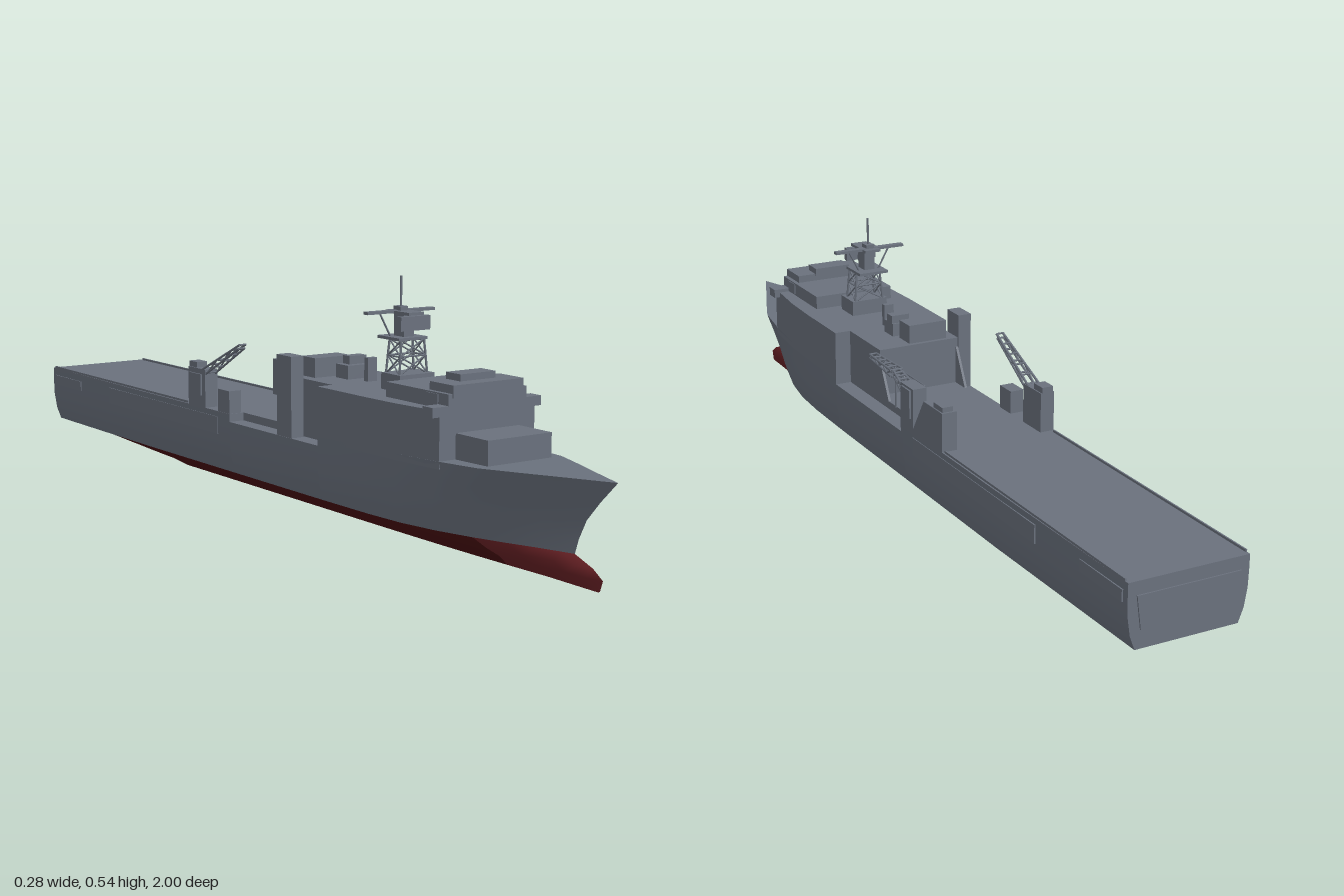
import * as THREE from 'three';

const mat = (name, color) => {
  const m = new THREE.MeshStandardMaterial({ color });
  m.name = name;
  return m;
};

export function createModel() {
  const grey = mat('hull grey', 0x6a717d);
  const red = mat('bottom red', 0x4c1012);
  const bowRed = mat('bow red', 0x6a2226);
  const ship = new THREE.Group();
  ship.name = 'ship';

  // ---------- helpers ----------
  const add = (name, geo, material = grey, parent = ship) => {
    const m = new THREE.Mesh(geo, material);
    m.name = name;
    parent.add(m);
    return m;
  };
  const box = (name, x0, x1, y0, y1, z0, z1, parent = ship) => {
    const g = new THREE.BoxGeometry(x1 - x0, y1 - y0, z1 - z0);
    g.translate((x0 + x1) / 2, (y0 + y1) / 2, (z0 + z1) / 2);
    return add(name, g, grey, parent);
  };
  const beam = (name, a, b, r, parent = ship) => {
    const p = new THREE.Vector3(...a), d = new THREE.Vector3(...b).sub(p);
    const g = new THREE.CylinderGeometry(r, r, d.length(), 6);
    const m = add(name, g, grey, parent);
    m.position.copy(p).addScaledVector(d, 0.5);
    m.quaternion.setFromUnitVectors(new THREE.Vector3(0, 1, 0), d.normalize());
  };
  // side profile of [z, y] points, extruded from x0 to x1
  const sidePlate = (name, pts, x0, x1) => {
    const s = new THREE.Shape(pts.map(p => new THREE.Vector2(...p)));
    const g = new THREE.ExtrudeGeometry(s, { depth: x1 - x0, bevelEnabled: false });
    add(name, g.rotateY(-Math.PI / 2).translate(x1, 0, 0));
  };
  // skin over rows of points
  const grid = (rows, flat) => {
    const n = rows[0].length, idx = [];
    for (let i = 0; i < rows.length - 1; i++)
      for (let j = 0; j < n - 1; j++) {
        const a = i * n + j, b = a + 1, c = a + n, d = c + 1;
        idx.push(a, b, c, b, d, c);
      }
    let g = new THREE.BufferGeometry();
    g.setAttribute('position', new THREE.Float32BufferAttribute(rows.flat(2), 3));
    g.setIndex(idx);
    if (flat) g = g.toNonIndexed();
    g.computeVertexNormals();
    return g;
  };
  const bothSides = (name, rows, material) => {
    add(name + 'Left', grid(rows), material);
    add(name + 'Right', grid(rows.map(r => r.map(([x, y, z]) => [-x, y, z]).reverse())), material);
  };

  // ---------- hull: stations from stern to bow ----------
  const S = [-1, -0.5, -0.11, -0.11, 0.24, 0.24, 0.4, 0.5, 0.62, 0.73, 0.82, 0.9, 0.96, 1];
  const deckW = [.134, .138, .138, .138, .138, .138, .138, .135, .124, .108, .073, .04, .016, 0];
  const waterW = [.115, .122, .122, .122, .122, .122, .12, .114, .098, .074, .05, .026, .01, 0];
  const deckY = S.map((s, i) => i < 3 ? 0.198 : i < 5 ? 0.18 : 0.2 + 0.015 * (s - 0.24) / 0.76);
  const shear = (s, end) => s < 0.5 ? s : 0.5 + (s - 0.5) * (end - 0.5) / 0.5;
  const lerp = THREE.MathUtils.lerp;

  // topsides: height, stem position, fullness amidships, fullness at the bow
  const sideRows = [[.06, .89, 0, 0], [.09, .90, .6, .2], [.13, .92, .94, .42], [.17, .955, 1, .7], [0, 1, 1, 1]];
  const topsides = S.map((s, i) => {
    const k = THREE.MathUtils.clamp((s - 0.3) / 0.5, 0, 1);
    return sideRows.map(([y, end, f0, f1]) =>
      [lerp(waterW[i], deckW[i], lerp(f0, f1, k)), y || deckY[i], shear(s, end)]);
  });
  bothSides('topside', topsides, grey);

  // underwater body: height fraction, forward end, width fraction
  const keelRows = [[0, .955, 0], [.04, .96, .15], [.4, .967, .47], [.7, .94, .8], [1, .89, 1]];
  const bottom = S.map((s, i) => {
    const keel = Math.max(0, (-0.5 - s) / 0.5) * 0.06;
    return keelRows.map(([t, end, f]) => {
      let w = f * waterW[i];
      if (s > 0.8 && s < 1 && t > 0.1 && t < 0.9) w = Math.max(w, 0.011);
      return [w, lerp(keel, 0.06, t), shear(s, end)];
    });
  });
  bothSides('bottom', bottom.slice(0, 10), red);
  bothSides('bowBottom', bottom.slice(9), bowRed);

  // deck and transom
  add('deck', grid(S.map((s, i) => [[deckW[i], deckY[i], s], [-deckW[i], deckY[i], s]]), true));
  const stern = topsides[0].map(p => [p[0], p[1]]);
  const sternShape = pts => new THREE.Shape(
    [...pts, ...pts.map(([x, y]) => [-x, y]).reverse()].map(p => new THREE.Vector2(...p)));
  add('transom', new THREE.ShapeGeometry(sternShape(stern)).rotateY(Math.PI).translate(0, 0, -1));
  const gate = new THREE.ExtrudeGeometry(sternShape([[.085, .085], [.105, .1], [.115, .17]]), { depth: .004, bevelEnabled: false });
  add('sternGate', gate.translate(0, 0, -1.003));
  box('recessCentreDeck', -0.1, 0.1, 0.17, 0.198, -0.112, 0.25);
  for (const s of [-1, 1]) {
    const span = (name, a, b, ...r) => box(name, Math.min(s * a, s * b), Math.max(s * a, s * b), ...r);
    span('deckEdge', .131, .1345, .19, .203, -.99, -.3);
    span('sidePanel', .134, .1395, .145, .185, -.68, -.16);
    span('quarterPanel', .130, .1372, .155, .18, -.985, -.84);
    span('bridgeWing', .09, .139, .295, .315, .6, .632);
    span('upperWing', .08, .102, .31, .335, .56, .6);
    sidePlate('aftGusset', [[.08, .198], [.035, .198], [.08, .285]], s * .098 - .003, s * .098 + .003);
  }

  // ---------- superstructure ----------
  const half = [[.138, .24], [.138, .4], [.135, .5], [.122, .632]];
  const plan = [...half, ...half.map(([x, z]) => [-x, z]).reverse()];
  const house = new THREE.ExtrudeGeometry(
    new THREE.Shape(plan.map(([x, z]) => new THREE.Vector2(x, -z))), { depth: 0.115, bevelEnabled: false });
  add('mainHouse', house.rotateX(-Math.PI / 2).translate(0, 0.192, 0));
  box('aftHouse', -.1, .1, .19, .307, .08, .245);
  box('foredeckHouse', -.081, .081, .2, .26, .62, .73);
  box('bridgeDeck', -.1, .1, .3, .338, .43, .632);
  box('bridgeTop', -.09, .09, .33, .355, .56, .634);
  box('directorBase', -.045, .045, .35, .369, .555, .6);
  box('uptake', -.075, .02, .3, .35, .09, .14);
  box('ventHouse', -.03, .03, .3, .337, .155, .2);
  box('ventTop', -.015, .03, .33, .355, .16, .185);
  box('vent', -.012, .012, .3, .358, .235, .248);
  box('recessTower', -.137, -.105, .18, .358, .085, .14);

  // open rail frame behind the house
  for (const x of [.065, .1]) {
    beam('railTop', [x, .265, .08], [x, .265, -.075], .002);
    for (const z of [0, -.075]) beam('railPost', [x, .195, z], [x, .265, z], .002);
  }
  beam('railEnd', [.065, .265, -.075], [.1, .265, -.075], .002);

  // ---------- cranes ----------
  const truss = (name, x, a, b, h0, h1) => {
    const g = new THREE.Group();
    g.name = name;
    ship.add(g);
    const n = 5, len = Math.hypot(b[0] - a[0], b[1] - a[1]);
    const uz = (b[1] - a[1]) / len, uy = -(b[0] - a[0]) / len;
    const pt = (t, side, up) => {
      const h = lerp(h0, h1, t) * up;
      return [x + side * lerp(.014, .008, t), lerp(a[1], b[1], t) - uy * h * -1, lerp(a[0], b[0], t) - uz * h];
    };
    for (const side of [-1, 1]) {
      for (const up of [-1, 1]) beam('chord', pt(0, side, up), pt(1, side, up), .0028, g);
      for (let i = 0; i < n; i++) {
        const u = i % 2 ? 1 : -1;
        beam('lacing', pt(i / n, side, u), pt((i + 1) / n, side, -u), .002, g);
      }
    }
    for (let i = 0; i <= n; i++)
      for (const up of [-1, 1]) beam('crossbar', pt(i / n, -1, up), pt(i / n, 1, up), .0022, g);
  };
  box('leftCraneTower', .105, .138, .17, .295, -.16, -.1);
  sidePlate('leftCraneHouse', [[-.155, .19], [-.16, .205], [-.21, .285], [-.295, .285], [-.295, .19]], .103, .138);
  box('leftCraneCap', .11, .135, .28, .296, -.29, -.25);
  truss('leftBoom', .122, [-.11, .275], [-.05, .298], .012, .007);
  truss('leftBoomTip', .122, [-.05, .298], [.07, .301], .007, .004);
  box('leftCraneDrum', .132, .142, .225, .29, -.15, -.11);
  box('rightCranePedestal', -.138, -.105, .19, .287, -.29, -.215);
  box('rightCraneCap', -.135, -.108, .28, .3, -.29, -.255);
  box('rightCraneDrum', -.142, -.132, .225, .275, -.28, -.23);
  box('rightCraneFoot', -.137, -.105, .17, .25, -.16, -.112);
  truss('rightBoom', -.122, [-.235, .275], [-.08, .355], .013, .005);

  // ---------- lattice mast ----------
  const mast = new THREE.Group();
  mast.name = 'mast';
  ship.add(mast);
  box('mastBase', -.045, .045, .3, .342, .34, .405, mast);
  const levels = [[.34, .036], [.378, .033], [.412, .03]];
  const corner = (l, k) => {
    const [y, w] = levels[l], q = [[1, 1], [-1, 1], [-1, -1], [1, -1]][k % 4];
    return [q[0] * w, y, .368 + q[1] * w * .65];
  };
  for (let l = 0; l < 2; l++)
    for (let k = 0; k < 4; k++) {
      beam('mastLeg', corner(l, k), corner(l + 1, k), .0025, mast);
      beam('mastBrace', corner(l, k), corner(l + 1, k + 1), .0018, mast);
      beam('mastBrace', corner(l, k + 1), corner(l + 1, k), .0018, mast);
      beam('mastRing', corner(l + 1, k), corner(l + 1, k + 1), .002, mast);
    }
  box('mastPlatform', -.037, .037, .411, .417, .315, .39, mast);
  box('mastTrunk', -.013, .013, .415, .466, .34, .375, mast);
  box('radarPanel', -.038, .038, .432, .462, .385, .398, mast);
  box('radarArm', -.01, .01, .435, .445, .37, .39, mast);
  box('yard', -.088, .088, .465, .471, .335, .35, mast);
  box('yardPlatform', -.02, .02, .464, .47, .32, .4, mast);
  box('poleFoot', -.01, .01, .468, .479, .335, .358, mast);
  beam('pole', [0, .47, .347], [0, .542, .347], .0025, mast);
  for (const s of [-1, 1]) beam('yardBrace', [s * .025, .415, .345], [s * .052, .466, .343], .002, mast);

  return ship;
}
